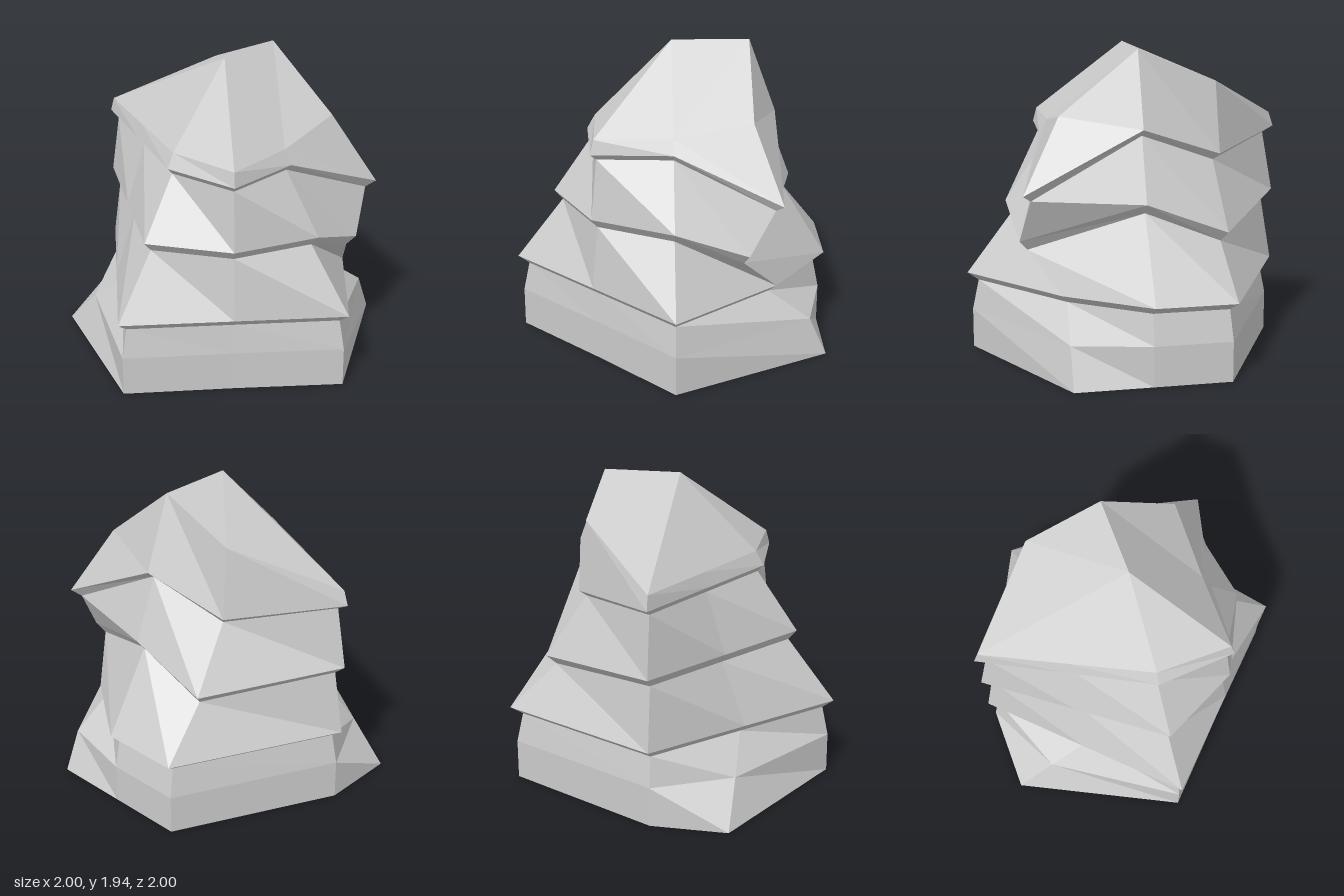
import * as THREE from 'three';

// Rings run counter-clockwise from above:
// front, frontLeft, left, backLeft, back, backRight, right, frontRight
const N = 8;

// Inserts the backRight corner halfway along the straight back-to-right edge
function ring(points) {
  const [back, right] = [points[4], points[5]];
  const middle = back.map((v, k) => (v + right[k]) / 2);
  return [...points.slice(0, 5), middle, ...points.slice(5)];
}

// Groove under a lip: drawn towards the axis and lowered
function recess(lip, drop) {
  return lip.map(([x, y, z]) => [x * 0.93, y - drop, z * 0.93]);
}

// Joins successive rings with facets
function bands(...rings) {
  const triangles = [];
  for (let r = 0; r + 1 < rings.length; r++) {
    const lo = rings[r], up = rings[r + 1];
    for (let i = 0; i < N; i++) {
      const j = (i + 1) % N;
      triangles.push([lo[i], lo[j], up[i]], [up[i], lo[j], up[j]]);
    }
  }
  return triangles;
}

function meshFrom(name, triangles, material) {
  const geometry = new THREE.BufferGeometry();
  geometry.setAttribute('position', new THREE.Float32BufferAttribute(triangles.flat(2), 3));
  geometry.computeVertexNormals();
  const mesh = new THREE.Mesh(geometry, material);
  mesh.name = name;
  return mesh;
}

export function createModel() {
  const group = new THREE.Group();
  group.name = 'layeredRock';
  const material = new THREE.MeshStandardMaterial({ color: 0xcccccc, flatShading: true });

  // Foot: an upright plan with two chipped corners at its upper rim
  const plan = [[0, 0.97], [0.97, 0.48], [0.97, 0], [0.97, -0.48], [0, -0.97], [-0.48, -0.97], [-0.97, 0], [-0.48, 0.48]];
  const base = plan.map(([x, z]) => [x, 0, z]);
  const rim = plan.map(([x, z]) => [x, 0.25, z]);
  rim[1][0] = 0.86;
  rim[5][2] = -0.73;

  // Overhanging lips of the three ledges
  const lowerLip = ring([[0, 1], [0.64, 0.49], [1, 0], [1, -0.5], [0, -1], [-1, 0], [-0.5, 0.5]].map(([x, z]) => [x, 0.49, z]));
  const middleLip = ring([
    [0, 0.95, 0.75], [0.45, 0.79, 0.72], [0.75, 1.05, 0], [0.75, 0.86, -0.5],
    [0, 0.95, -1], [-0.75, 0.95, 0], [-0.5, 0.95, 0.5],
  ]);
  const upperLip = ring([
    [0, 1.37, 0.53], [0.65, 1.11, 0.72], [0.65, 1.48, 0], [0.53, 1.3, -0.5],
    [0, 1.37, -1], [-0.53, 1.37, 0], [-0.5, 1.37, 0.5],
  ]);

  // Shoulder of the peak, rising to the crest on the left
  const shoulder = ring([
    [0, 1.46, 0.48], [0.48, 1.55, 0.48], [0.48, 1.94, 0], [0.48, 1.74, -0.48],
    [0, 1.46, -0.97], [-0.48, 1.46, 0], [-0.48, 1.46, 0.48],
  ]);

  const lowerRecess = recess(lowerLip, 0.05);
  const middleRecess = recess(middleLip, 0.06);
  const upperRecess = recess(upperLip, 0.04);

  // Flat underside closes the foot
  const foot = bands(base, rim, lowerRecess);
  for (let i = 0; i < N; i++) foot.push([[0, 0, 0], base[(i + 1) % N], base[i]]);

  // Crown facets; a level ridge joins the summit to the left crest
  const peak = bands(upperLip, shoulder);
  const summit = [0, 1.94, 0];
  peak.push([shoulder[0], shoulder[2], summit], [shoulder[0], shoulder[1], shoulder[2]]);
  for (let i = 2; i < N; i++) peak.push([shoulder[i], shoulder[(i + 1) % N], summit]);

  group.add(
    meshFrom('foot', foot, material),
    meshFrom('lowerLayer', bands(lowerRecess, lowerLip, middleRecess), material),
    meshFrom('middleLayer', bands(middleRecess, middleLip, upperRecess), material),
    meshFrom('upperLedge', bands(upperRecess, upperLip), material),
    meshFrom('peak', peak, material),
  );
  return group;
}
